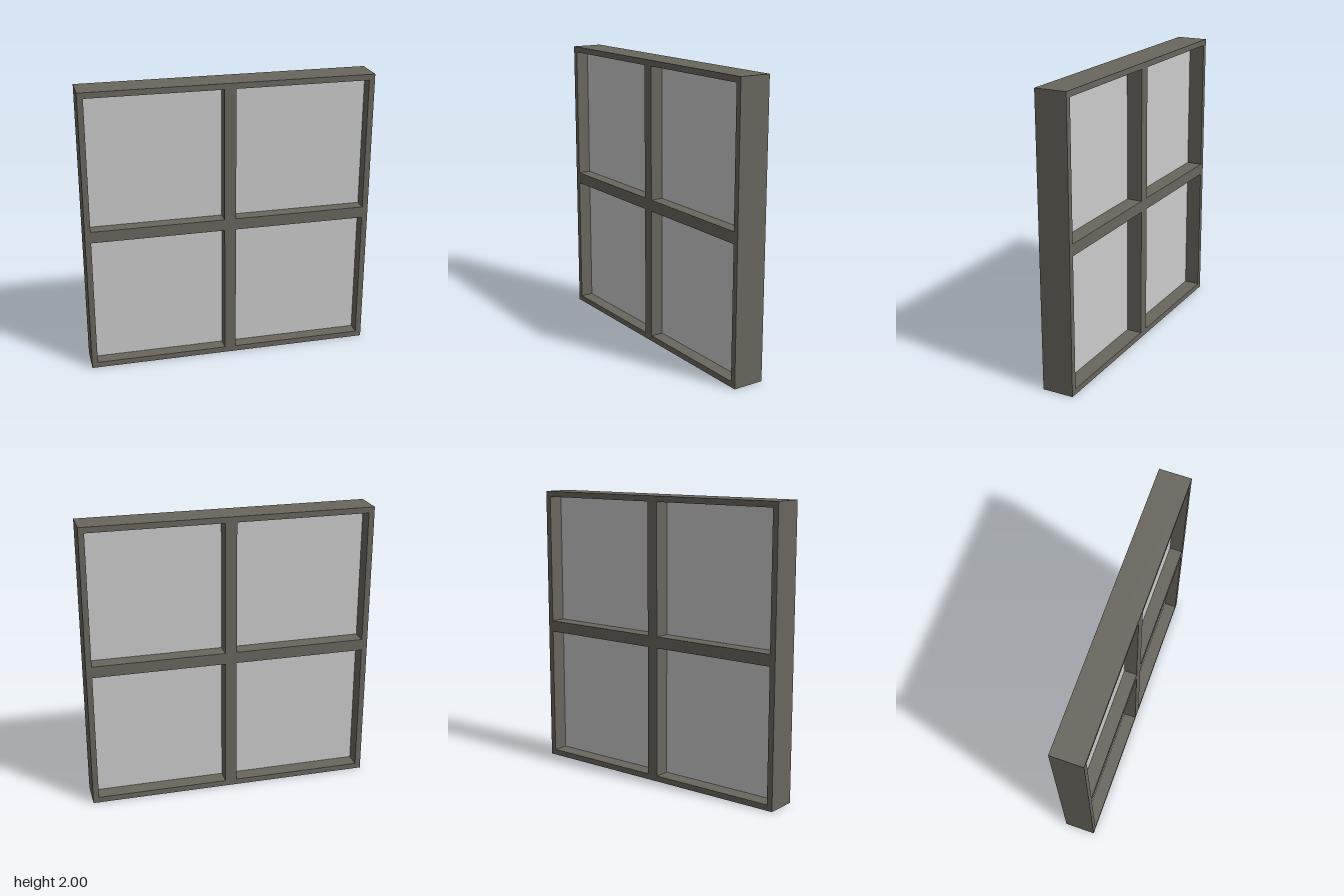
import * as THREE from 'three';

const SIZE = 2, DEPTH = 0.22, BORDER = 0.04, HALF_BAR = 0.04;

export function createModel() {
  const group = new THREE.Group();
  group.name = 'window';
  const frameMaterial = new THREE.MeshStandardMaterial({ color: 0x68665d });
  const paneMaterial = new THREE.MeshStandardMaterial({ color: 0xcccccc });

  // Square outline, listed counter-clockwise
  const square = (path, cx, cy, half) => {
    path.moveTo(cx - half, cy - half);
    path.lineTo(cx + half, cy - half);
    path.lineTo(cx + half, cy + half);
    path.lineTo(cx - half, cy + half);
    path.closePath();
    return path;
  };

  // Frame with crossing bars: one slab with four square openings
  const opening = 1 - BORDER - HALF_BAR;
  const centre = HALF_BAR + opening / 2;
  const outline = square(new THREE.Shape(), 0, 1, SIZE / 2);
  for (const sx of [-1, 1]) {
    for (const sy of [-1, 1]) {
      outline.holes.push(square(new THREE.Path(), sx * centre, 1 + sy * centre, opening / 2));
    }
  }
  const frameGeometry = new THREE.ExtrudeGeometry(outline, { depth: DEPTH, bevelEnabled: false });
  frameGeometry.translate(0, 0, -DEPTH / 2);
  const frame = new THREE.Mesh(frameGeometry, frameMaterial);
  frame.name = 'frame';
  group.add(frame);

  // Thin panes, let slightly into the frame and set just forward of its middle
  const paneSize = opening + 0.02;
  const paneGeometry = new THREE.BoxGeometry(paneSize, paneSize, 0.02);
  for (const sx of [-1, 1]) {
    for (const sy of [-1, 1]) {
      const pane = new THREE.Mesh(paneGeometry, paneMaterial);
      pane.name = `${sy > 0 ? 'upper' : 'lower'}${sx > 0 ? 'Left' : 'Right'}Pane`;
      pane.position.set(sx * centre, 1 + sy * centre, 0.01);
      group.add(pane);
    }
  }
  return group;
}
